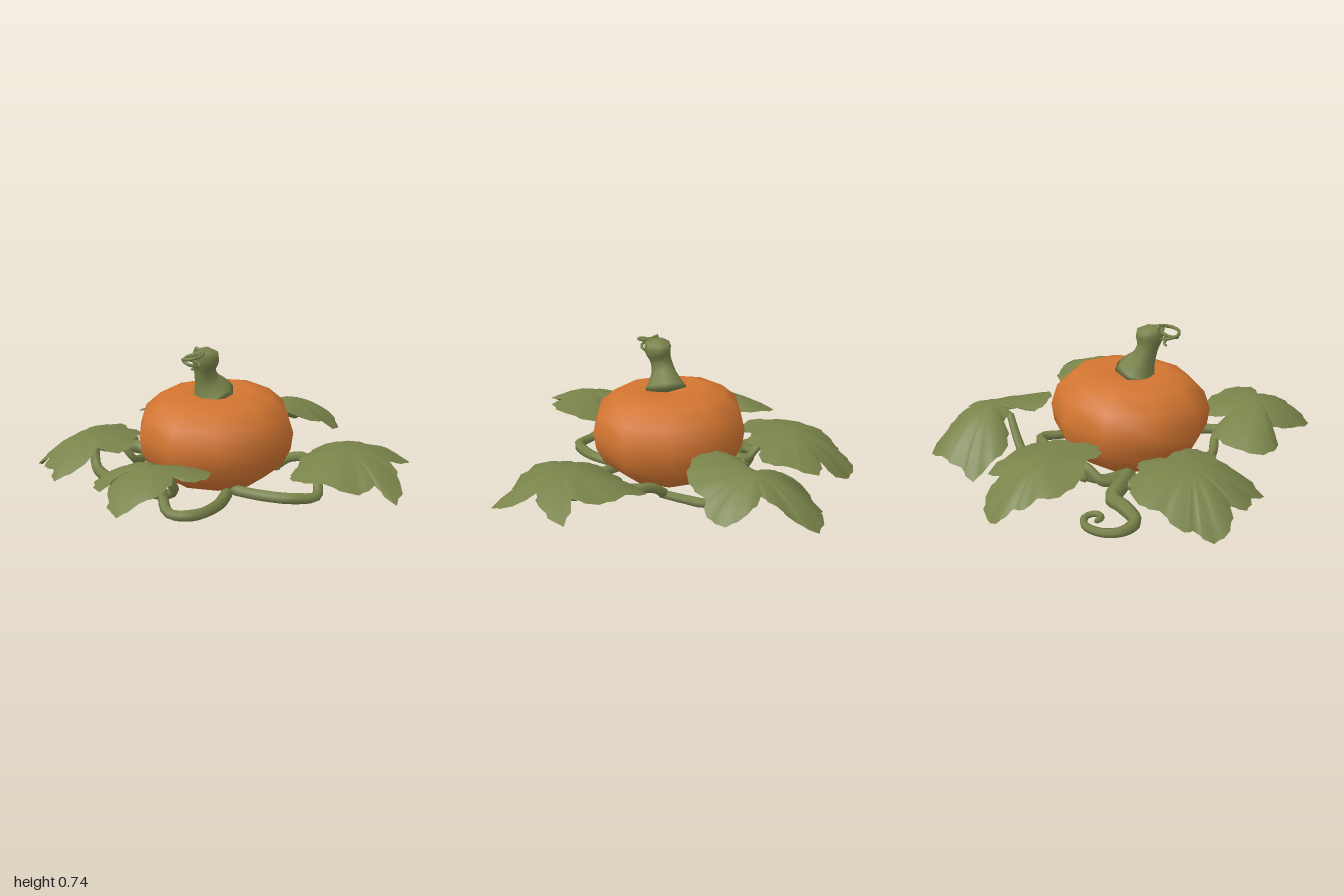
import * as THREE from 'three';
import { mergeVertices } from 'three/addons/utils/BufferGeometryUtils.js';

const orange = new THREE.MeshStandardMaterial({ color: 0xd27531 });
orange.name = 'pumpkin orange';
const green = new THREE.MeshStandardMaterial({ color: 0x79834a, side: THREE.DoubleSide });
green.name = 'leaf green';

function named(geometry, material, name) {
  const mesh = new THREE.Mesh(geometry, material);
  mesh.name = name;
  return mesh;
}

// Tube along a smooth path; radii are spread evenly along it and both ends are closed.
function taperedTube(points, radii, name, sides = 6, steps = points.length * 4) {
  const curve = new THREE.CatmullRomCurve3(points.map((p) => new THREE.Vector3(...p)));
  const tube = new THREE.TubeGeometry(curve, steps, 1, sides);
  const pos = tube.attributes.position;
  const v = new THREE.Vector3();
  for (let i = 0; i <= steps; i++) {
    const c = curve.getPointAt(i / steps);
    const f = (i / steps) * (radii.length - 1);
    const k = Math.min(Math.floor(f), radii.length - 2);
    const closed = i === 0 || i === steps;
    const r = closed ? 0 : THREE.MathUtils.lerp(radii[k], radii[k + 1], f - k);
    for (let j = 0; j <= sides; j++) {
      const n = i * (sides + 1) + j;
      v.fromBufferAttribute(pos, n).sub(c).multiplyScalar(r).add(c);
      pos.setXYZ(n, v.x, v.y, v.z);
    }
  }
  // Weld the seam so the normals follow the taper.
  tube.deleteAttribute('normal');
  tube.deleteAttribute('uv');
  const geo = mergeVertices(tube, 1e-5);
  geo.computeVertexNormals();
  return named(geo, green, name);
}

// Domed leaf: rings grow from the centre to a toothed rim; rim points run clockwise from above.
function leaf(centre, rim, name) {
  const edge = [];
  rim.forEach((a, i) => {
    const b = rim[(i + 1) % rim.length];
    const dx = b[0] - a[0], dz = b[2] - a[2];
    const along = (t, out) => [a[0] + dx * t + dz * out, a[1] + (b[1] - a[1]) * t, a[2] + dz * t - dx * out];
    edge.push(a, along(0.5, 0.13), along(0.68, 0.02));
  });
  const n = edge.length, pos = [...centre], index = [];
  [0.3, 0.55, 0.8, 1].forEach((t, ring) => {
    edge.forEach((e, i) => {
      const lerp = (k, s) => centre[k] + (e[k] - centre[k]) * s;
      pos.push(lerp(0, t), lerp(1, t ** 1.9), lerp(2, t));
      const a = 1 + ring * n + i, b = 1 + ring * n + ((i + 1) % n);
      if (ring === 0) index.push(0, b, a);
      else index.push(a - n, b - n, a, b - n, b, a);
    });
  });
  const geo = new THREE.BufferGeometry();
  geo.setAttribute('position', new THREE.Float32BufferAttribute(pos, 3));
  geo.setIndex(index);
  geo.computeVertexNormals();
  return named(geo, green, name);
}

function pumpkin() {
  const profile = [[0, 0.02], [0.15, 0.005], [0.26, 0.035], [0.355, 0.11], [0.4, 0.2], [0.412, 0.29],
    [0.38, 0.39], [0.3, 0.46], [0.19, 0.493], [0.08, 0.47], [0, 0.46]];
  const geo = new THREE.LatheGeometry(profile.map((p) => new THREE.Vector2(...p)), 10, -0.12);
  // The top leans a little towards the front.
  const pos = geo.attributes.position;
  for (let i = 0; i < pos.count; i++) pos.setY(i, pos.getY(i) * (1 - 0.12 * pos.getZ(i)));
  const mesh = named(geo, orange, 'pumpkin');
  mesh.position.set(-0.047, 0, 0.04);
  return mesh;
}

function leaves() {
  const group = new THREE.Group();
  group.name = 'leaves';
  group.add(
    leaf([-0.05, 0.285, 0.72], [
      [0, 0.19, 0.45], [0.1, 0.21, 0.46], [0.21, 0.25, 0.6], [0.2, 0.26, 0.74], [0.09, 0.265, 0.74],
      [0.11, 0.24, 0.85], [0.03, 0.2, 0.94], [-0.05, 0.14, 1], [-0.18, 0.18, 0.87], [-0.21, 0.21, 0.74],
      [-0.29, 0.14, 0.77], [-0.39, 0.14, 0.67], [-0.34, 0.16, 0.53], [-0.24, 0.18, 0.45], [-0.08, 0.22, 0.55],
    ], 'frontLeaf'),
    leaf([0.67, 0.265, 0], [
      [0.46, 0.2, -0.03], [0.4, 0.14, -0.17], [0.41, 0.15, -0.29], [0.56, 0.2, -0.3], [0.71, 0.2, -0.29],
      [0.8, 0.23, -0.2], [0.9, 0.15, -0.27], [0.91, 0.19, -0.1], [0.87, 0.22, -0.03], [0.95, 0.15, 0.05],
      [0.98, 0.09, 0.2], [0.86, 0.16, 0.17], [0.81, 0.13, 0.25], [0.64, 0.18, 0.3], [0.48, 0.15, 0.26],
      [0.44, 0.15, 0.19], [0.48, 0.2, 0.12], [0.43, 0.19, 0.06],
    ], 'leftLeaf'),
    leaf([0.08, 0.285, -0.68], [
      [0.04, 0.26, -0.59], [-0.05, 0.23, -0.62], [-0.18, 0.16, -0.6], [-0.27, 0.11, -0.69], [-0.28, 0.015, -0.78],
      [-0.2, 0.06, -0.84], [-0.12, 0.09, -0.94], [-0.02, 0.055, -1], [0.07, 0.12, -0.93], [0.13, 0.2, -0.86],
      [0.16, 0.235, -0.79], [0.27, 0.19, -0.81], [0.35, 0.13, -0.75], [0.36, 0.14, -0.64], [0.31, 0.2, -0.58],
      [0.3, 0.23, -0.46], [0.19, 0.29, -0.37], [0.04, 0.295, -0.39], [-0.02, 0.27, -0.46], [0.03, 0.275, -0.54],
    ], 'backLeaf'),
    leaf([-0.5, 0.245, -0.43], [
      [-0.53, 0.07, -0.71], [-0.48, 0.15, -0.64], [-0.4, 0.12, -0.7], [-0.28, 0.17, -0.58], [-0.21, 0.18, -0.48],
      [-0.28, 0.22, -0.4], [-0.26, 0.22, -0.34], [-0.35, 0.24, -0.28], [-0.34, 0.23, -0.2], [-0.47, 0.24, -0.15],
      [-0.56, 0.245, -0.24], [-0.66, 0.22, -0.26], [-0.77, 0.18, -0.37], [-0.75, 0.17, -0.47], [-0.76, 0.12, -0.53],
      [-0.73, 0.11, -0.58], [-0.75, 0.05, -0.66], [-0.66, 0.015, -0.7],
    ], 'backRightLeaf'),
    leaf([-0.67, 0.24, 0.25], [
      [-0.84, 0.16, -0.02], [-0.68, 0.2, -0.04], [-0.6, 0.2, 0.02], [-0.5, 0.19, 0.02], [-0.48, 0.2, 0.1],
      [-0.5, 0.21, 0.16], [-0.41, 0.21, 0.27], [-0.43, 0.19, 0.38], [-0.55, 0.21, 0.4], [-0.56, 0.15, 0.49],
      [-0.68, 0.07, 0.6], [-0.74, 0.1, 0.52], [-0.83, 0.09, 0.48], [-0.83, 0.12, 0.4], [-0.94, 0.06, 0.38],
      [-0.98, 0.02, 0.3], [-0.94, 0.07, 0.21], [-0.95, 0.07, 0.17], [-0.87, 0.14, 0.07],
    ], 'rightLeaf'),
  );
  return group;
}

function vines() {
  const group = new THREE.Group();
  group.name = 'vines';
  const thick = [0.03, 0.03, 0.022], stalk = [0.028, 0.025, 0.018];
  group.add(
    // Front loop that rises into the front leaf
    taperedTube([[0.13, 0.035, 0.25], [0.165, 0.035, 0.45], [0.12, 0.035, 0.6], [0, 0.035, 0.63],
      [-0.06, 0.1, 0.58], [-0.08, 0.23, 0.58]], thick, 'frontVine'),
    taperedTube([[-0.68, 0.2, 0.22], [-0.64, 0.06, 0.28], [-0.5, 0.035, 0.36], [-0.36, 0.035, 0.39],
      [-0.25, 0.035, 0.38], [-0.15, 0.04, 0.46], [-0.04, 0.1, 0.5], [-0.08, 0.23, 0.58]], thick, 'frontRightVine'),
    // Vine curving out to the leaf on the left side
    taperedTube([[0.12, 0.035, 0.22], [0.3, 0.035, 0.23], [0.46, 0.035, 0.2], [0.55, 0.035, 0.12],
      [0.53, 0.08, 0.05], [0.48, 0.2, 0]], thick, 'frontLeftVine'),
    taperedTube([[0.2, 0.04, -0.2], [0.28, 0.1, -0.19], [0.37, 0.12, -0.17], [0.4, 0.1, -0.07],
      [0.43, 0.12, 0.03], [0.5, 0.21, 0]], stalk, 'leftLeafStalk'),
    // Back stalk with its sharp bend
    taperedTube([[0.02, 0.04, -0.3], [-0.07, 0.05, -0.38], [-0.16, 0.08, -0.5], [-0.17, 0.1, -0.52],
      [-0.1, 0.15, -0.55], [0.03, 0.26, -0.59]], stalk, 'backLeafStalk'),
    taperedTube([[-0.42, 0.08, -0.22], [-0.32, 0.06, -0.26], [-0.2, 0.06, -0.3], [-0.08, 0.04, -0.36],
      [0.04, 0.06, -0.42], [0.13, 0.05, -0.42], [0.17, 0.04, -0.3], [0.22, 0.04, -0.15]], thick, 'backVine'),
    // Bundle rising into the back right leaf
    taperedTube([[-0.34, 0.05, -0.02], [-0.38, 0.05, -0.16], [-0.36, 0.08, -0.25], [-0.29, 0.13, -0.32],
      [-0.36, 0.23, -0.36]], stalk, 'backRightLeafStalk'),
    taperedTube([[-0.4, 0.05, -0.05], [-0.43, 0.06, -0.14], [-0.38, 0.12, -0.22], [-0.34, 0.15, -0.3],
      [-0.4, 0.23, -0.37]], stalk, 'backRightLeafStalk'),
    taperedTube([[-0.3, 0.04, -0.05], [-0.46, 0.05, -0.02], [-0.49, 0.06, 0.08], [-0.47, 0.09, 0.17],
      [-0.56, 0.21, 0.2]], stalk, 'rightLeafStalk'),
    // Long side vine ending in a curl
    taperedTube([[-0.33, 0.05, 0], [-0.46, 0.05, -0.06], [-0.58, 0.05, -0.11], [-0.68, 0.06, -0.07],
      [-0.8, 0.05, -0.03], [-0.87, 0.045, -0.1], [-0.86, 0.04, -0.19], [-0.79, 0.04, -0.26], [-0.72, 0.045, -0.25],
      [-0.71, 0.05, -0.2], [-0.76, 0.055, -0.18], [-0.8, 0.06, -0.22]],
    [0.044, 0.042, 0.036, 0.024, 0.018, 0.014], 'curledVine'),
  );
  return group;
}

function stem() {
  const group = new THREE.Group();
  group.name = 'stem';
  group.add(taperedTube([[-0.045, 0.455, 0.06], [-0.05, 0.49, 0.07], [-0.065, 0.56, 0.1], [-0.065, 0.62, 0.12],
    [-0.055, 0.68, 0.13], [-0.05, 0.735, 0.125]], [0.13, 0.092, 0.062, 0.055, 0.074, 0.058], 'stemStalk', 7, 14));
  // Thin curls hanging from the stem head
  const curl = (cx, cy, cz, r, turns, start) => {
    const points = [[-0.05, 0.7, 0.17]];
    for (let i = 0; i <= 10; i++) {
      const a = start + (i / 10) * turns * Math.PI * 2, s = r * (1 - 0.04 * i);
      points.push([cx + Math.cos(a) * s, cy - i * 0.008, cz + Math.sin(a) * s]);
    }
    return taperedTube(points, [0.011, 0.009, 0.007], 'stemTendril', 5);
  };
  group.add(curl(-0.08, 0.73, 0.23, 0.06, 1.3, -1.8), curl(-0.08, 0.71, 0.235, 0.045, -1.2, -1));
  return group;
}

export function createModel() {
  const model = new THREE.Group();
  model.name = 'pumpkinPlant';
  model.add(pumpkin(), stem(), leaves(), vines());
  return model;
}
